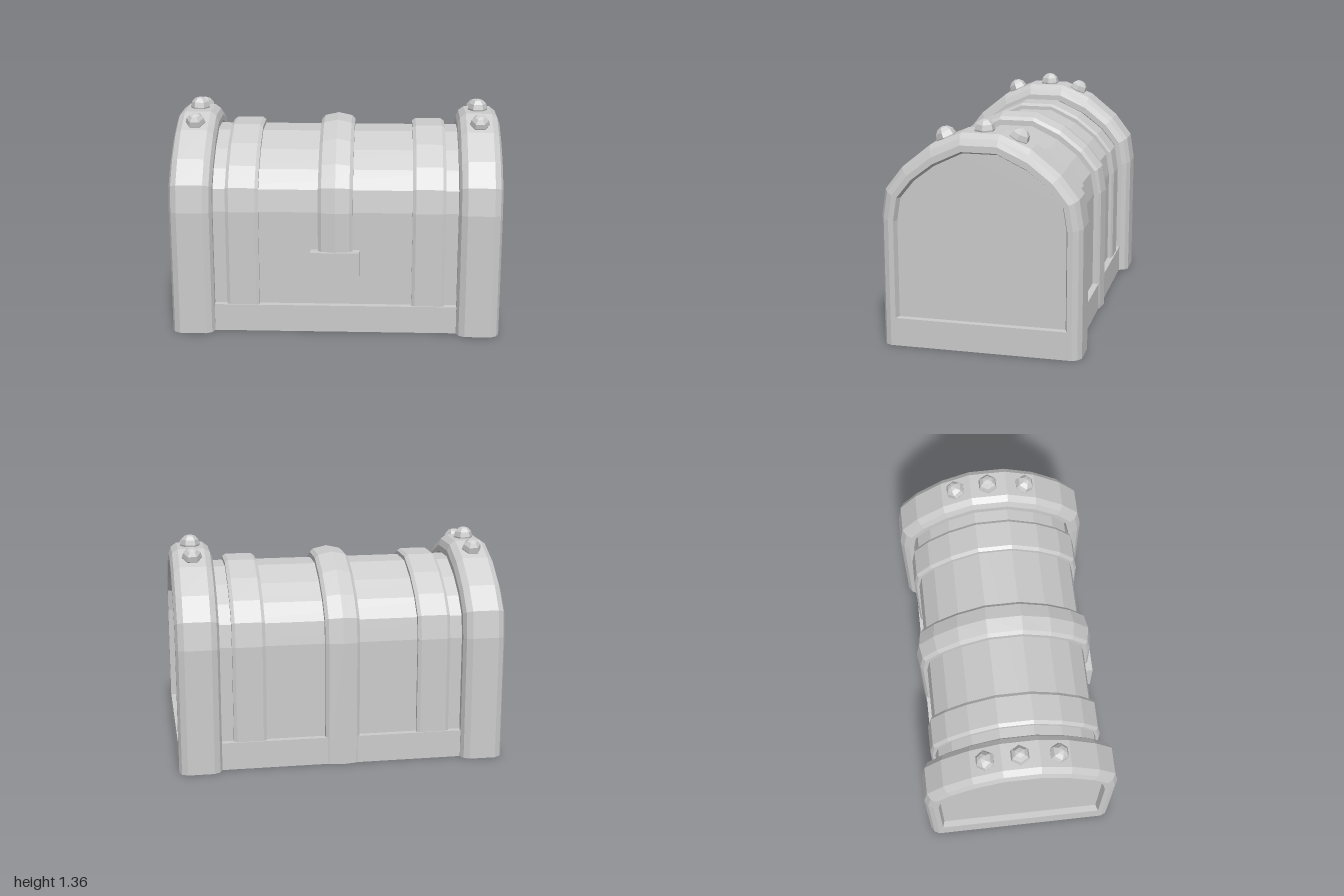
import * as THREE from 'three';

const material = new THREE.MeshStandardMaterial({ color: 0xcccccc, flatShading: true });

// Half arches as [z, y], from the spring line to the crown: body skin and outermost band skin
const INNER = [[0.497, 0.755], [0.475, 0.89], [0.39, 0.995], [0.268, 1.088], [0.102, 1.168]];
const OUTER = [[0.592, 0.77], [0.566, 0.935], [0.462, 1.07], [0.292, 1.208], [0.112, 1.285]];

// Whole arch from front foot to back foot; t blends from body skin (0) to band skin (1)
function arch(t, frontY, backY) {
  const half = INNER.map(([z, y], i) => [
    THREE.MathUtils.lerp(z, OUTER[i][0], t),
    THREE.MathUtils.lerp(y, OUTER[i][1], t),
  ]);
  const back = half.map(([z, y]) => [-z, y]).reverse();
  const footZ = half[0][0];
  return [[footZ, frontY], ...half, ...back, [-footZ, backY]];
}

// Sweeps a closed cross-section of [x, t] points over the arch, with flat feet
function bandGeometry(section, frontY, backY) {
  const n = section.length;
  const rows = section.map(([, t]) => arch(t, frontY, backY));
  const count = rows[0].length;
  const positions = [];
  const index = [];
  for (let s = 0; s < count; s++) {
    section.forEach(([x], k) => positions.push(x, rows[k][s][1], rows[k][s][0]));
  }
  for (let s = 0; s < count - 1; s++) {
    for (let k = 0; k < n; k++) {
      const a = s * n + k;
      const b = s * n + (k + 1) % n;
      index.push(a, a + n, b, b, a + n, b + n);
    }
  }
  const outline = section.map(([x, t]) => new THREE.Vector2(x, t));
  const last = (count - 1) * n;
  for (const [a, b, c] of THREE.ShapeUtils.triangulateShape(outline, [])) {
    index.push(a, b, c, last + a, last + c, last + b);
  }
  const indexed = new THREE.BufferGeometry();
  indexed.setAttribute('position', new THREE.Float32BufferAttribute(positions, 3));
  indexed.setIndex(index);
  const geometry = indexed.toNonIndexed();
  geometry.computeVertexNormals();
  return geometry;
}

export function createModel() {
  const group = new THREE.Group();
  const add = (name, geometry, x = 0, y = 0, z = 0) => {
    const mesh = new THREE.Mesh(geometry, material);
    mesh.name = name;
    mesh.position.set(x, y, z);
    group.add(mesh);
    return mesh;
  };
  // Sections run from +x over the top to -x, so faces point outward
  const band = (name, section, frontY, backY = frontY) =>
    add(name, bandGeometry(section, frontY, backY));

  // Barrel-topped body
  const shape = new THREE.Shape(arch(0, 0.1, 0.1).map(([z, y]) => new THREE.Vector2(z, y)));
  const body = new THREE.ExtrudeGeometry(shape, { depth: 1.92, bevelEnabled: false });
  body.translate(0, 0, -0.96).rotateY(Math.PI / 2);
  add('body', body);

  // Plinth, flush with the end bands
  add('base', new THREE.BoxGeometry(2, 0.17, 1.07), 0, 0.085, 0);

  // Heavy rounded end bands, slim side bands and rivets
  const endHalf = [[0.13, 0.45], [0.115, 0.78], [0.08, 1]];
  for (const side of [1, -1]) {
    const label = side > 0 ? 'left' : 'right';
    const cx = side * 0.87;
    const endSection = [
      [0.09, 0], [0.13, 0.13], ...endHalf,
      ...endHalf.map(([x, t]) => [-x, t]).reverse(), [-0.13, 0.13], [-0.09, 0],
    ].map(([x, t]) => [cx + x, t]);
    band(label + 'EndBand', endSection, 0);

    const slimSection = [
      [0.1, -0.1], [0.1, 0.2], [0.08, 0.32], [-0.08, 0.32], [-0.1, 0.2], [-0.1, -0.1],
    ].map(([x, t]) => [side * 0.565 + x, t]);
    band(label + 'SideBand', slimSection, 0.165);

    for (const [z, y, tilt] of [[0.222, 1.243, 0.42], [-0.005, 1.294, 0], [-0.205, 1.252, -0.42]]) {
      add(label + 'Rivet', new THREE.SphereGeometry(0.061, 6, 6), cx, y, z).rotation.x = tilt;
    }
  }

  // Ridged centre band: ends behind the lock in front, reaches the ground at the back
  band('centreBand', [
    [0.105, -0.1], [0.105, 0.28], [0.085, 0.45], [0, 0.61],
    [-0.085, 0.45], [-0.105, 0.28], [-0.105, -0.1],
  ], 0.4, 0);

  // Lock plate
  add('lock', new THREE.BoxGeometry(0.296, 0.28, 0.1), -0.002, 0.38, 0.516);

  return group;
}
